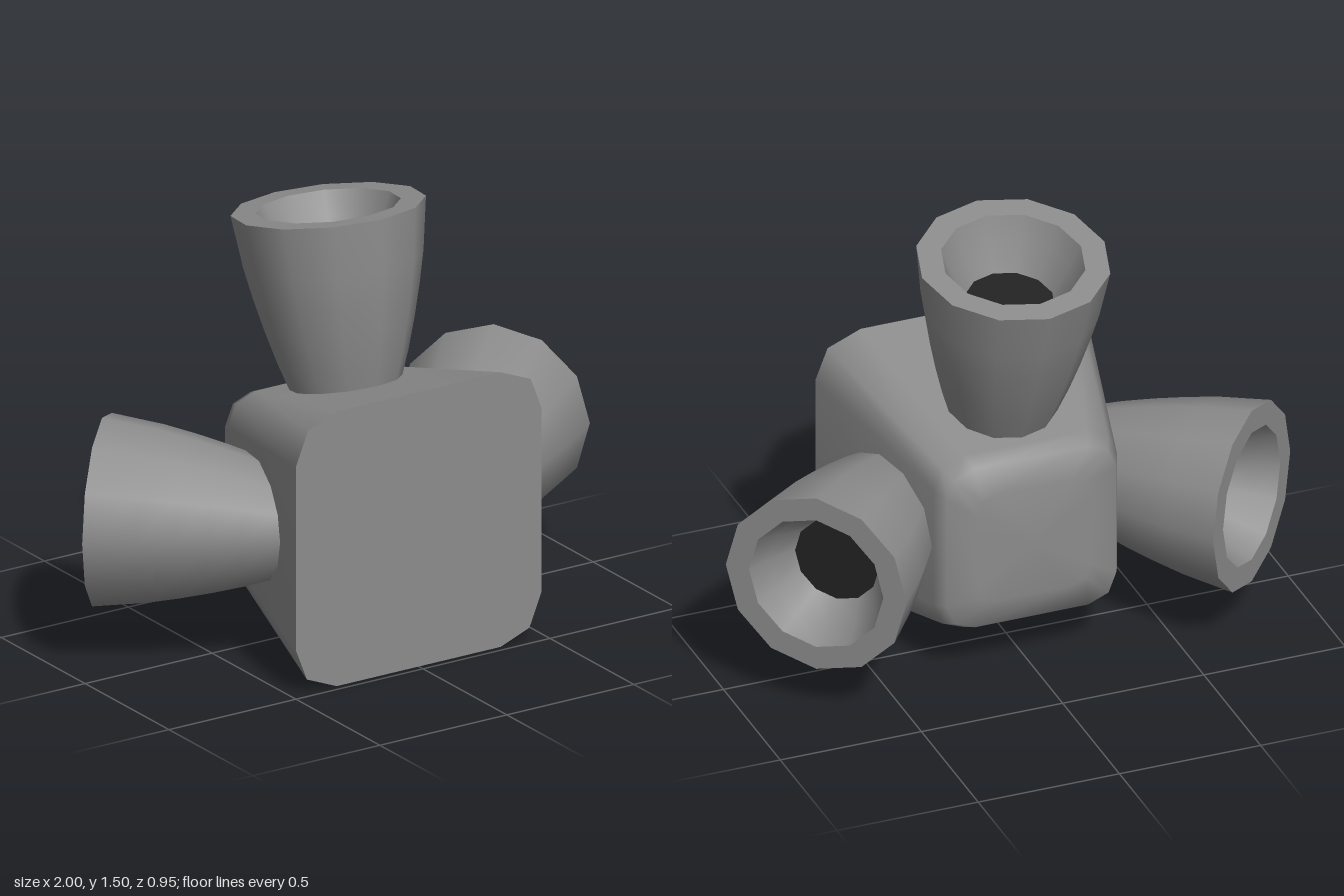
import * as THREE from 'three';

const shell = new THREE.MeshStandardMaterial({ color: 0x8c8c8c });
shell.name = 'grey shell';
const dark = new THREE.MeshStandardMaterial({ color: 0x222222 });
dark.name = 'dark throat';

const MID_Y = 0.49;
const SIDES = 12;

function part(name, geometry, material) {
  const mesh = new THREE.Mesh(geometry, material);
  mesh.name = name;
  return mesh;
}

// Square with rounded corners, counter-clockwise, half width h
function roundedSquare(h) {
  const corner = [[1, 0.667], [0.91, 0.9], [0.667, 1]];
  const points = [];
  for (let q = 0; q < 4; q++) {
    for (const [x, y] of corner) {
      points.push(new THREE.Vector2(x * h, y * h).rotateAround(new THREE.Vector2(), q * Math.PI / 2));
    }
  }
  return points;
}

// Tapered block: rounded-square sections from front to back, closed by a shallow dome
function createBody() {
  const sections = [[0.475, 0.484], [-0.17, 0.325], [-0.225, 0.3], [-0.25, 0.2]];
  const positions = [];
  const index = [];
  for (const [z, h] of sections) {
    for (const p of roundedSquare(h)) positions.push(p.x, p.y, z);
  }
  positions.push(0, 0, -0.255);
  const last = sections.length - 1;
  const centre = sections.length * SIDES;
  for (let k = 0; k <= last; k++) {
    for (let i = 0; i < SIDES; i++) {
      const a = k * SIDES + i;
      const b = k * SIDES + (i + 1) % SIDES;
      if (k === last) index.push(a, centre, b);
      else index.push(a, a + SIDES, b, b, a + SIDES, b + SIDES);
    }
  }
  const geometry = new THREE.BufferGeometry();
  geometry.setAttribute('position', new THREE.Float32BufferAttribute(positions, 3));
  geometry.setIndex(index);
  geometry.computeVertexNormals();

  const body = new THREE.Group();
  body.name = 'body';
  const front = part('frontPlate', new THREE.ShapeGeometry(new THREE.Shape(roundedSquare(0.484))), shell);
  front.position.z = 0.475;
  body.add(part('taperedBlock', geometry, shell), front);
  body.position.y = MID_Y;
  return body;
}

// Flared nozzle along +y with the rim centre at the origin
function createNozzle(name) {
  const turn = (profile) => new THREE.LatheGeometry(profile.map(([r, y]) => new THREE.Vector2(r, y)), SIDES);
  const nozzle = new THREE.Group();
  nozzle.name = name;
  nozzle.add(
    part('outerWall', turn([[0.12, -0.8], [0.18, -0.62], [0.217, -0.51], [0.248, -0.4], [0.275, -0.29], [0.298, -0.18], [0.323, 0]]), shell),
    part('rim', turn([[0.323, 0], [0.24, 0]]), shell),
    part('innerWall', turn([[0.24, 0], [0.205, -0.08], [0.15, -0.175]]), shell),
    part('throat', turn([[0.15, -0.175], [0, -0.175]]), dark),
  );
  nozzle.rotation.order = 'YXZ';
  return nozzle;
}

export function createModel() {
  const model = new THREE.Group();
  model.name = 'threeNozzleBlock';
  model.add(createBody());

  // Top nozzle leans slightly back
  const top = createNozzle('topNozzle');
  top.position.set(0, 1.455, -0.065);
  top.rotation.x = -0.171;
  model.add(top);

  // Side nozzles point outward and back at 45 degrees
  for (const side of [1, -1]) {
    const nozzle = createNozzle(side > 0 ? 'leftNozzle' : 'rightNozzle');
    nozzle.position.set(side * 0.771, MID_Y, -0.247);
    nozzle.rotation.set(-Math.PI / 2, -side * Math.PI / 4, 0);
    model.add(nozzle);
  }
  return model;
}
